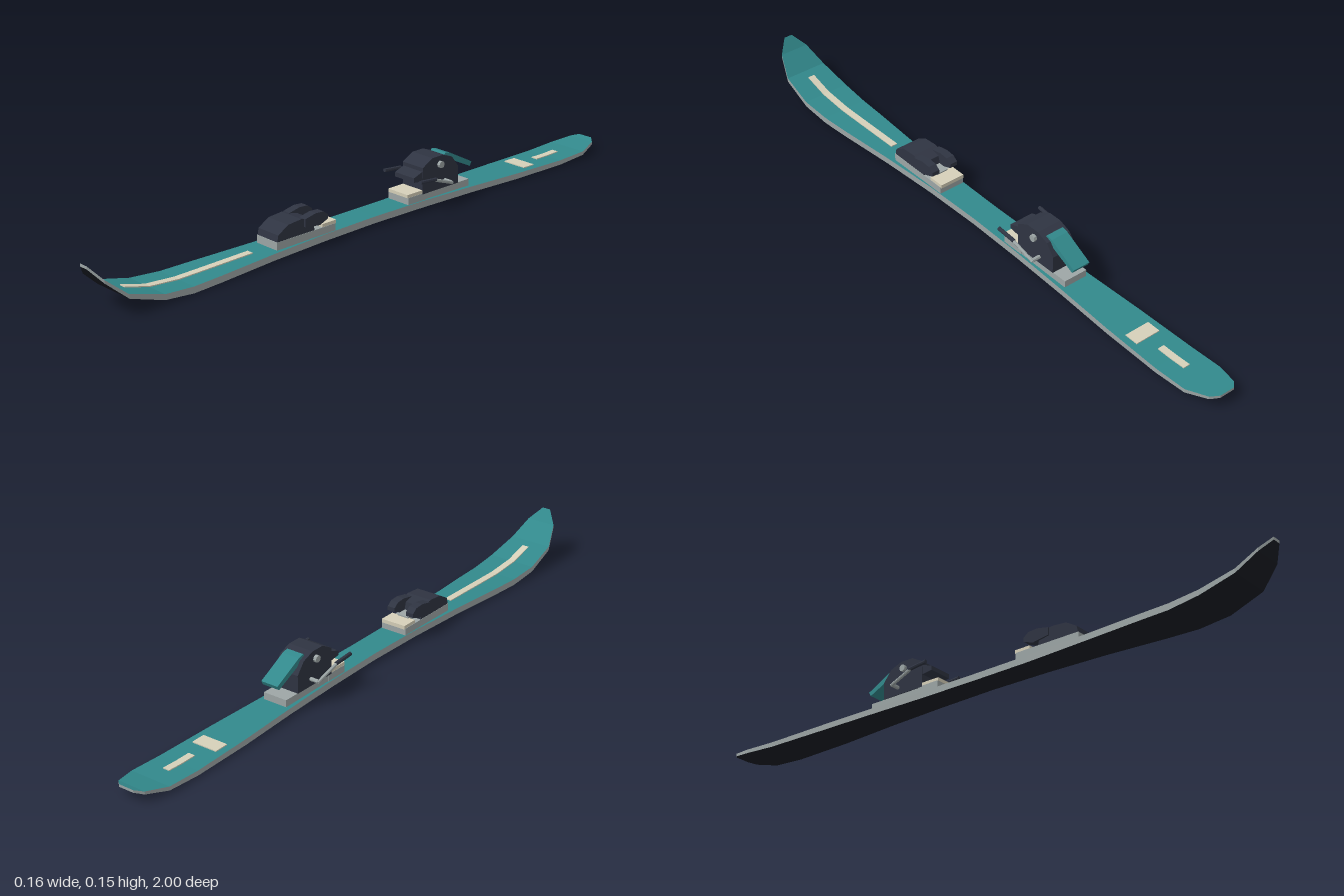
import * as THREE from 'three';

const mat = (name, color, side = THREE.FrontSide) => {
  const m = new THREE.MeshStandardMaterial({ color, side, flatShading: true });
  m.name = name;
  return m;
};

// Ski stations: z, half width, underside y, top y
const STATIONS = [
  [-1, 0.025, 0.029, 0.037], [-0.98, 0.046, 0.022, 0.031], [-0.91, 0.067, 0.008, 0.02],
  [-0.8, 0.067, 0.001, 0.016], [-0.6, 0.062, 0.001, 0.019], [-0.4, 0.053, 0.004, 0.023],
  [-0.2, 0.046, 0.005, 0.026], [0, 0.043, 0.006, 0.027], [0.2, 0.046, 0.005, 0.026],
  [0.4, 0.056, 0.004, 0.024], [0.6, 0.07, 0.001, 0.021], [0.7, 0.075, 0, 0.02],
  [0.8, 0.078, 0.011, 0.028], [0.91, 0.07, 0.045, 0.058], [0.97, 0.048, 0.098, 0.108],
  [1, 0.014, 0.136, 0.145],
];

// Top surface height at z
function topY(z) {
  for (let i = 0; i < STATIONS.length - 1; i++) {
    const a = STATIONS[i], b = STATIONS[i + 1];
    if (z <= b[0]) return a[3] + (b[3] - a[3]) * (z - a[0]) / (b[0] - a[0]);
  }
  return STATIONS[STATIONS.length - 1][3];
}

// Lofts rectangular sections; groups: 0 top, 1 sides and ends, 2 underside
function loft(rows) {
  const faces = [[], [], []];
  const quad = (g, a, b, c, d) => faces[g].push(...a, ...b, ...c, ...a, ...c, ...d);
  const corners = rows.map(([z, w, lo, hi]) => ({
    lt: [-w, hi, z], rt: [w, hi, z], lb: [-w, lo, z], rb: [w, lo, z],
  }));
  for (let i = 0; i < corners.length - 1; i++) {
    const p = corners[i], q = corners[i + 1];
    quad(0, p.lt, q.lt, q.rt, p.rt);
    quad(1, p.rt, q.rt, q.rb, p.rb);
    quad(1, p.lb, q.lb, q.lt, p.lt);
    quad(2, p.rb, q.rb, q.lb, p.lb);
  }
  const s = corners[0], e = corners[corners.length - 1];
  quad(1, e.lb, e.rb, e.rt, e.lt);
  quad(1, s.rb, s.lb, s.lt, s.rt);
  const geo = new THREE.BufferGeometry();
  geo.setAttribute('position', new THREE.Float32BufferAttribute(faces.flat(), 3));
  let start = 0;
  faces.forEach((f, i) => {
    geo.addGroup(start, f.length / 3, i);
    start += f.length / 3;
  });
  geo.computeVertexNormals();
  return geo;
}

// Extrudes a [z, y] side profile across x
function profile(points, width) {
  const shape = new THREE.Shape(points.map(([z, y]) => new THREE.Vector2(z, y)));
  const geo = new THREE.ExtrudeGeometry(shape, { depth: width, bevelEnabled: false });
  geo.translate(0, 0, -width / 2);
  return geo.rotateY(-Math.PI / 2);
}

export function createModel() {
  const teal = mat('teal', 0x32898c);
  const cream = mat('cream', 0xd6d0b9);
  const grey = mat('grey', 0x9da6a6);
  const dark = mat('dark plastic', 0x2f3442);
  const black = mat('black base', 0x191c23);
  const model = new THREE.Group();
  model.name = 'ski';

  const add = (parent, name, geo, material, x = 0, y = 0, z = 0) => {
    const mesh = new THREE.Mesh(geo, material);
    mesh.name = name;
    mesh.position.set(x, y, z);
    parent.add(mesh);
    return mesh;
  };
  // Box given by half width and y / z ranges
  const box = (parent, name, m, w, y0, y1, z0, z1, x = 0) =>
    add(parent, name, new THREE.BoxGeometry(w * 2, y1 - y0, z1 - z0), m, x, (y0 + y1) / 2, (z0 + z1) / 2);
  const rod = (parent, name, m, a, b, r) => {
    const from = new THREE.Vector3(...a), to = new THREE.Vector3(...b);
    const dir = to.clone().sub(from);
    const mesh = add(parent, name, new THREE.CylinderGeometry(r, r, dir.length(), 8), m);
    mesh.position.copy(from).add(to).multiplyScalar(0.5);
    mesh.quaternion.setFromUnitVectors(new THREE.Vector3(0, 1, 0), dir.normalize());
  };

  // Ski body
  add(model, 'skiBody', loft(STATIONS), [teal, grey, black]);

  // Inlaid stripes that follow the top surface
  const stripe = (name, z0, z1, w) => {
    const zs = [z0, ...STATIONS.map((s) => s[0]).filter((z) => z > z0 && z < z1), z1];
    add(model, name, loft(zs.map((z) => [z, w, topY(z) - 0.001, topY(z) + 0.003])), [cream, cream, cream]);
  };
  stripe('frontStripe', 0.44, 0.88, 0.011);
  stripe('tailBar', -0.7, -0.655, 0.042);
  stripe('tailStripe', -0.85, -0.75, 0.011);

  // Toe binding
  const toe = new THREE.Group();
  toe.name = 'toeBinding';
  model.add(toe);
  box(toe, 'toePlate', grey, 0.043, 0.022, 0.048, 0.155, 0.378);
  box(toe, 'toePad', cream, 0.042, 0.046, 0.058, 0.152, 0.205);
  box(toe, 'toeSlide', grey, 0.02, 0.046, 0.062, 0.2, 0.24);
  add(toe, 'toeHousing', profile([
    [0.376, 0.048], [0.372, 0.068], [0.335, 0.09], [0.285, 0.094], [0.245, 0.085], [0.235, 0.048],
  ], 0.084), dark);
  for (const s of [-1, 1]) {
    const jaw = add(toe, 'toeJaw', profile([
      [0.275, 0.068], [0.275, 0.092], [0.235, 0.1], [0.205, 0.098], [0.188, 0.085], [0.188, 0.072], [0.22, 0.06],
    ], 0.026), dark);
    jaw.position.x = s * 0.034;
  }

  // Heel binding
  const heel = new THREE.Group();
  heel.name = 'heelBinding';
  model.add(heel);
  box(heel, 'heelPlate', grey, 0.04, 0.022, 0.045, -0.402, -0.16);
  box(heel, 'heelPadBase', grey, 0.042, 0.022, 0.048, -0.215, -0.14);
  box(heel, 'heelPad', cream, 0.041, 0.048, 0.058, -0.215, -0.138);
  add(heel, 'heelHousing', profile([
    [-0.352, 0.045], [-0.2, 0.045], [-0.2, 0.128], [-0.24, 0.15], [-0.285, 0.15], [-0.325, 0.135], [-0.352, 0.1],
  ], 0.084), dark);
  add(heel, 'heelCup', profile([
    [-0.205, 0.085], [-0.165, 0.09], [-0.165, 0.104], [-0.205, 0.118],
  ], 0.08), dark);
  add(heel, 'heelLever', profile([
    [-0.3, 0.135], [-0.31, 0.148], [-0.33, 0.143], [-0.425, 0.093], [-0.418, 0.08], [-0.33, 0.122],
  ], 0.058), teal);
  for (const s of [-1, 1]) {
    rod(heel, 'pivotPin', grey, [s * 0.036, 0.124, -0.272], [s * 0.052, 0.124, -0.272], 0.011);
    // Brake arm
    rod(heel, 'brakeAxle', grey, [s * 0.035, 0.068, -0.295], [s * 0.07, 0.068, -0.295], 0.006);
    rod(heel, 'brakeArm', grey, [s * 0.07, 0.066, -0.298], [s * 0.075, 0.096, -0.215], 0.005);
    rod(heel, 'brakeTip', dark, [s * 0.075, 0.096, -0.222], [s * 0.076, 0.102, -0.156], 0.006);
  }
  return model;
}
